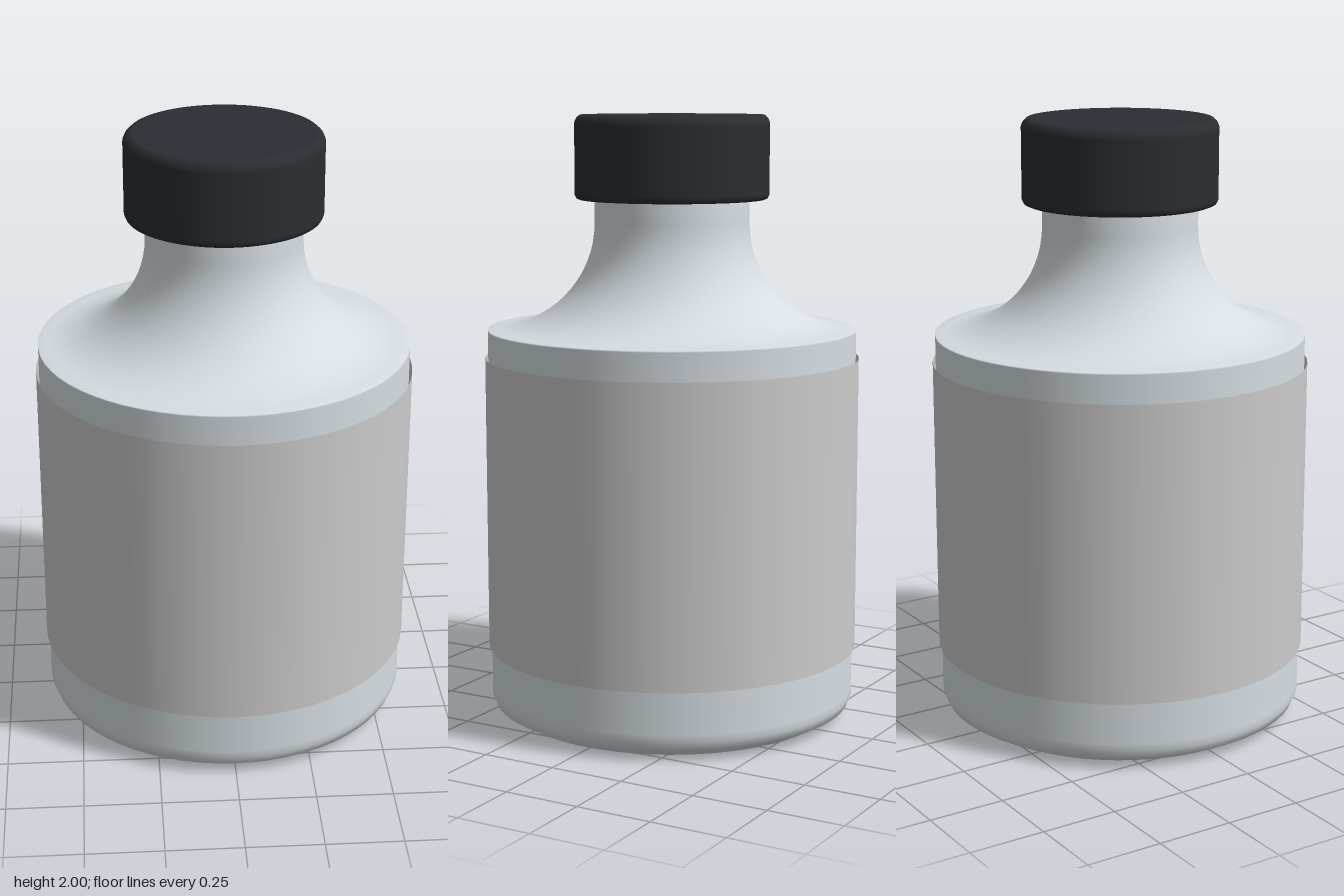
import * as THREE from 'three';

const SEGMENTS = 64;

// Smooth surface of revolution from [radius, height] pairs
function lathe(name, profile, color) {
  const points = profile.map(([r, y]) => new THREE.Vector2(r, y));
  const mesh = new THREE.Mesh(
    new THREE.LatheGeometry(points, SEGMENTS),
    new THREE.MeshStandardMaterial({ color, side: THREE.DoubleSide })
  );
  mesh.name = name;
  return mesh;
}

export function createModel() {
  const model = new THREE.Group();
  model.name = 'bottle';

  // Concave quarter-round shoulder from the body rim up to the neck
  const shoulder = [];
  for (let i = 0; i <= 16; i++) {
    const a = (i / 16) * Math.PI / 2;
    shoulder.push([0.61 - 0.355 * Math.sin(a), 1.65 - 0.35 * Math.cos(a)]);
  }

  // Body with rounded foot, straight wall, shoulder and neck
  model.add(lathe('body', [
    [0, 0], [0.525, 0], [0.54, 0.004], [0.598, 0.036], [0.61, 0.065], [0.61, 0.09],
    [0.61, 1.295], ...shoulder, [0.255, 1.74], [0.25, 1.76], [0, 1.76],
  ], 0xd6dee3));

  // Label sleeve wrapped around the wall
  const label = new THREE.Mesh(
    new THREE.CylinderGeometry(0.62, 0.62, 0.975, SEGMENTS, 1, true),
    new THREE.MeshStandardMaterial({ color: 0xcccccc, side: THREE.DoubleSide })
  );
  label.name = 'label';
  label.position.y = 0.7175;
  model.add(label);

  // Screw cap with softened edges
  model.add(lathe('cap', [
    [0, 1.725], [0.305, 1.725], [0.315, 1.729], [0.32, 1.74], [0.32, 1.75],
    [0.32, 1.965], [0.32, 1.975], [0.314, 1.989], [0.302, 2], [0.29, 2], [0, 2],
  ], 0x2a2d32));

  return model;
}
